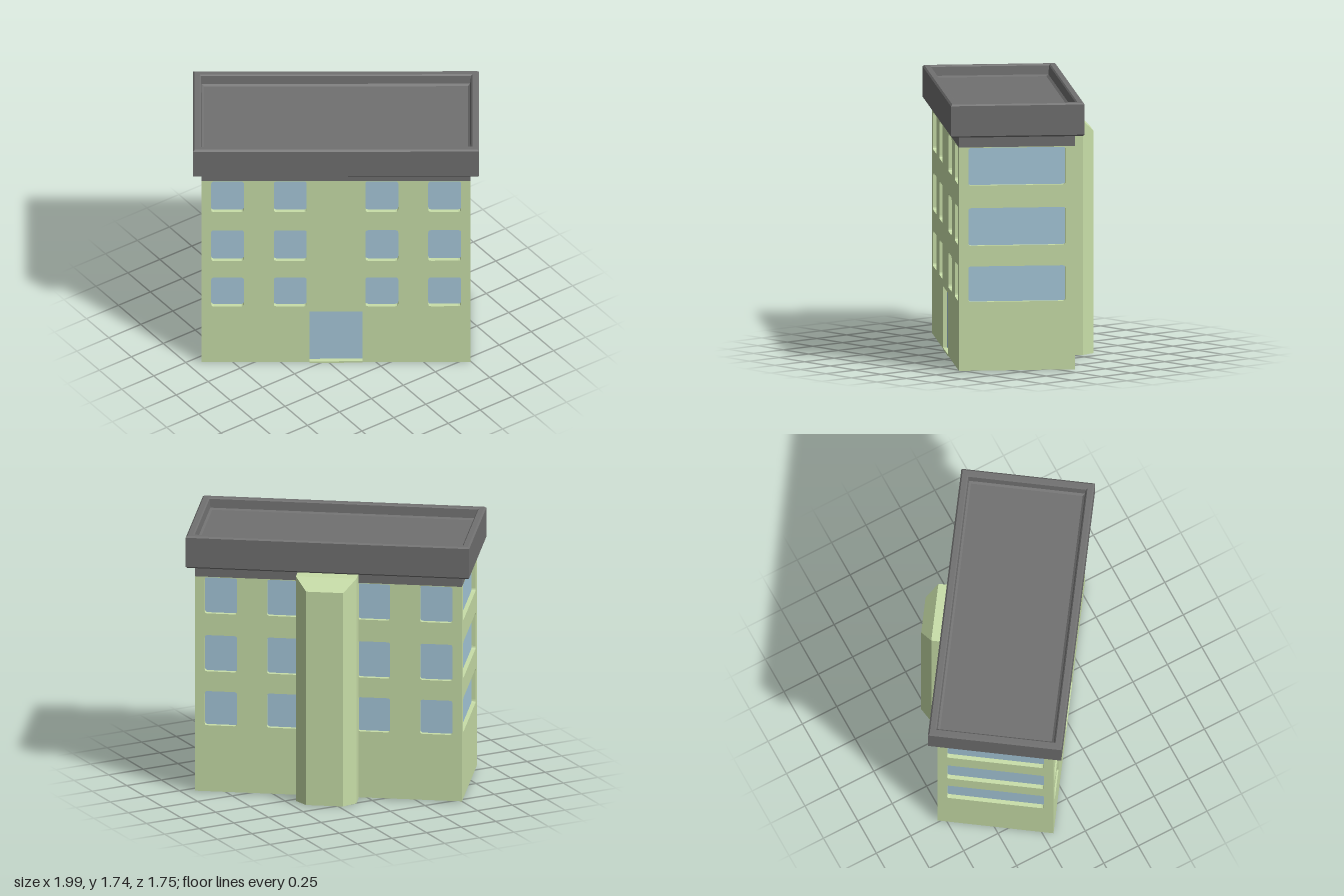
import * as THREE from 'three';
import { ConvexGeometry } from 'three/addons/geometries/ConvexGeometry.js';

const L = 1.722, W = 0.746;             // body length and depth
const BASE = 0.006, WALL_TOP = 1.45;    // green wall heights
const RECESS = 0.03;                    // window depth
const ROWS = [[0.45, 0.68], [0.813, 1.057], [1.203, 1.446]];
const DOOR_HALF = 0.17, DOOR_TOP = 0.41;

const mat = (color, extra = {}) => new THREE.MeshStandardMaterial({ color, ...extra });
const green = mat(0xc8dea8);
const glass = mat(0xa6c8da);
const dark = mat(0x707070, { flatShading: true });

function add(parent, name, geometry, material, x = 0, y = 0, z = 0) {
  const mesh = new THREE.Mesh(geometry, material);
  mesh.name = name;
  mesh.position.set(x, y, z);
  parent.add(mesh);
  return mesh;
}

// Rounded rectangle drawn into a Shape or Path
function roundRect(path, x0, y0, x1, y1, r) {
  path.moveTo(x0 + r, y0);
  path.lineTo(x1 - r, y0);
  path.quadraticCurveTo(x1, y0, x1, y0 + r);
  path.lineTo(x1, y1 - r);
  path.quadraticCurveTo(x1, y1, x1 - r, y1);
  path.lineTo(x0 + r, y1);
  path.quadraticCurveTo(x0, y1, x0, y1 - r);
  path.lineTo(x0, y0 + r);
  path.quadraticCurveTo(x0, y0, x0 + r, y0);
  return path;
}

// Wall slab with window openings and recessed panes, facing local +z
function makeWall(name, width, distance, angle, centres, windowWidth, hasDoor) {
  const wall = new THREE.Group();
  wall.name = name;
  wall.rotation.y = angle;
  const h = width / 2;
  const shape = new THREE.Shape();
  shape.moveTo(-h, BASE);
  if (hasDoor) {
    shape.lineTo(-DOOR_HALF, BASE);
    shape.lineTo(-DOOR_HALF, DOOR_TOP);
    shape.lineTo(DOOR_HALF, DOOR_TOP);
    shape.lineTo(DOOR_HALF, BASE);
  }
  shape.lineTo(h, BASE);
  shape.lineTo(h, WALL_TOP);
  shape.lineTo(-h, WALL_TOP);
  shape.closePath();

  const paneZ = distance - RECESS + 0.003;
  for (const [y0, y1] of ROWS) {
    for (const cx of centres) {
      const box = [cx - windowWidth / 2, y0, cx + windowWidth / 2, y1, 0.018];
      shape.holes.push(roundRect(new THREE.Path(), ...box));
      const pane = new THREE.ShapeGeometry(roundRect(new THREE.Shape(), ...box), 3);
      add(wall, 'windowPane', pane, glass, 0, 0, paneZ);
    }
  }
  const slab = new THREE.ExtrudeGeometry(shape, { depth: RECESS, bevelEnabled: false, curveSegments: 3 });
  add(wall, 'wallSlab', slab, green, 0, 0, distance - RECESS);

  if (hasDoor) {
    const door = new THREE.PlaneGeometry(2 * DOOR_HALF, DOOR_TOP - 0.012);
    add(wall, 'door', door, glass, 0, (DOOR_TOP + 0.012) / 2, paneZ);
    add(wall, 'doorSill', new THREE.BoxGeometry(2 * DOOR_HALF, 0.012, RECESS), green,
      0, 0.006, distance - RECESS / 2);
  }
  return wall;
}

// Stack of rectangular rings [halfX, halfZ, y], joined by quads
function ringStack(rings) {
  const pos = [];
  const corners = ([x, z, y]) => [[-x, y, z], [x, y, z], [x, y, -z], [-x, y, -z]];
  for (let i = 0; i < rings.length - 1; i++) {
    const a = corners(rings[i]), b = corners(rings[i + 1]);
    for (let k = 0; k < 4; k++) {
      const n = (k + 1) % 4;
      pos.push(...a[k], ...a[n], ...b[n], ...a[k], ...b[n], ...b[k]);
    }
  }
  const g = new THREE.BufferGeometry();
  g.setAttribute('position', new THREE.Float32BufferAttribute(pos, 3));
  g.computeVertexNormals();
  return g;
}

export function createModel() {
  const model = new THREE.Group();
  model.name = 'building';
  const body = new THREE.Group();
  body.name = 'rotatedBuilding';
  body.rotation.y = THREE.MathUtils.degToRad(-35);
  model.add(body);

  // Core behind the wall slabs
  const coreH = WALL_TOP - BASE;
  add(body, 'core', new THREE.BoxGeometry(L - 2 * RECESS, coreH, W - 2 * RECESS), green, 0, BASE + coreH / 2, 0);

  // Four walls
  const columns = [-0.695, -0.293, 0.293, 0.695];
  const endWidth = W - 2 * RECESS;
  body.add(makeWall('frontWall', L, W / 2, 0, columns, 0.21, true));
  body.add(makeWall('backWall', L, W / 2, Math.PI, columns, 0.21, false));
  body.add(makeWall('leftWall', endWidth, L / 2, Math.PI / 2, [0], 0.625, false));
  body.add(makeWall('rightWall', endWidth, L / 2, -Math.PI / 2, [0], 0.625, false));

  // Dark band under the roof
  add(body, 'roofBand', new THREE.BoxGeometry(L, 0.08, W), dark, 0, WALL_TOP + 0.04, 0);

  // Stair tower on the back: chamfered plan, top sloping down at its outer edge
  const points = [];
  for (const s of [-1, 1]) {
    for (const [x, z, top] of [[0.195, -0.36, 1.516], [0.195, -0.493, 1.516], [0.12, -0.567, 1.44]]) {
      points.push(new THREE.Vector3(s * x, 0.003, z), new THREE.Vector3(s * x, top, z));
    }
  }
  add(body, 'stairTower', new ConvexGeometry(points), green);

  // Roof slab with bevelled edges, parapet and sunken deck
  const X = 0.915, Z = 0.43;
  const ring = (inset, y) => [X - inset, Z - inset, y];
  add(body, 'roof', ringStack([
    [0, 0, 1.518], ring(0.035, 1.518), ring(0.01, 1.52), ring(0, 1.53),
    ring(0, 1.725), ring(0.01, 1.735), ring(0.042, 1.735), ring(0.05, 1.727),
    ring(0.056, 1.67), ring(0.07, 1.66), [0, 0, 1.66],
  ]), dark);

  return model;
}
